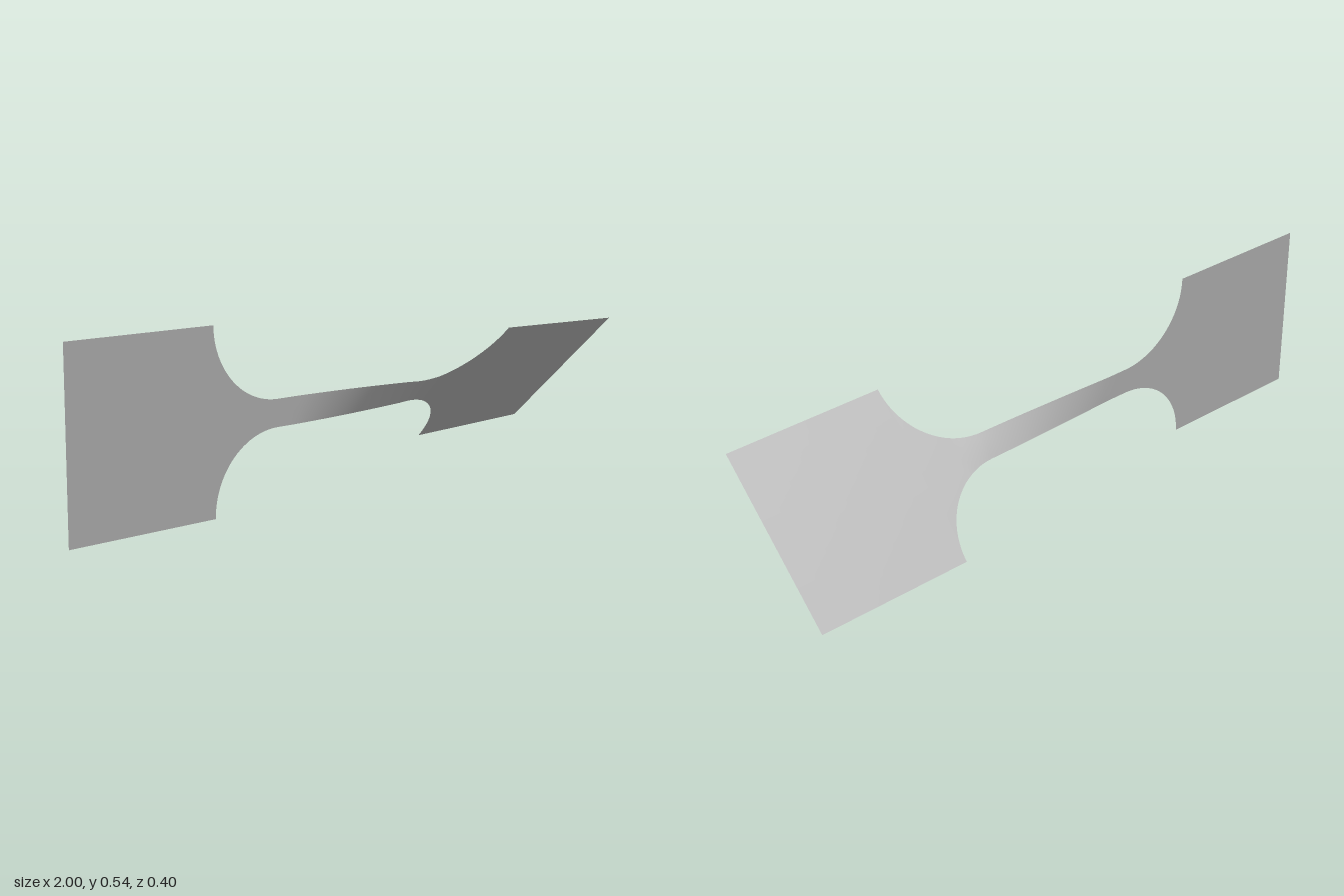
import * as THREE from 'three';

const CENTER_Y = 0.272;
const HALF_WIDE = 0.272;
const HALF_NARROW = 0.041;
const SHOULDER = 0.508; // where the wide end plates stop
const NECK = 0.275; // where the straight neck starts

// Twist angle in degrees at positions along the strip
const TWIST = [[-1, 0], [-0.2, 0], [0, 13], [0.25, 32], [0.3, 38], [0.36, 43], [0.5, 44.3], [1, 47]];

function twistAt(x) {
  for (let i = 1; i < TWIST.length; i++) {
    const [x0, a0] = TWIST[i - 1];
    const [x1, a1] = TWIST[i];
    if (x <= x1) return THREE.MathUtils.degToRad(a0 + (a1 - a0) * (x - x0) / (x1 - x0));
  }
  return THREE.MathUtils.degToRad(47);
}

// Positions and half widths along one half, from the neck out to the end
function halfOutline() {
  const points = [];
  for (let i = 0; i <= 10; i++) points.push([NECK * i / 10, HALF_NARROW]);
  for (let i = 1; i <= 24; i++) {
    const a = (i / 24) * Math.PI / 2;
    points.push([
      NECK + (SHOULDER - NECK) * Math.sin(a),
      HALF_NARROW + (HALF_WIDE - HALF_NARROW) * (1 - Math.cos(a)),
    ]);
  }
  for (let i = 1; i <= 8; i++) points.push([SHOULDER + (1 - SHOULDER) * i / 8, HALF_WIDE]);
  return points;
}

// Thin sheet made of straight cross-sections turned about the long axis
function twistedSheet() {
  const half = halfOutline();
  const stations = [...half.slice(1).reverse().map(([x, w]) => [-x, w]), ...half];
  const across = 8;
  const positions = [];
  const indices = [];
  stations.forEach(([x, w], i) => {
    const a = twistAt(x);
    for (let j = 0; j <= across; j++) {
      const r = w * (2 * j / across - 1);
      positions.push(x, CENTER_Y + r * Math.cos(a), r * Math.sin(a));
      if (i > 0 && j > 0) {
        const d = i * (across + 1) + j;
        const c = d - 1;
        const b = d - across - 1;
        const e = b - 1;
        indices.push(e, c, d, e, d, b);
      }
    }
  });
  const geometry = new THREE.BufferGeometry();
  geometry.setAttribute('position', new THREE.Float32BufferAttribute(positions, 3));
  geometry.setIndex(indices);
  geometry.computeVertexNormals();
  return geometry;
}

export function createModel() {
  const group = new THREE.Group();
  group.name = 'twistedSpecimen';
  const grey = new THREE.MeshStandardMaterial({ color: 0xc8c8c8, side: THREE.DoubleSide });
  grey.name = 'light grey';
  const strip = new THREE.Mesh(twistedSheet(), grey);
  strip.name = 'twistedStrip';
  group.add(strip);
  return group;
}
